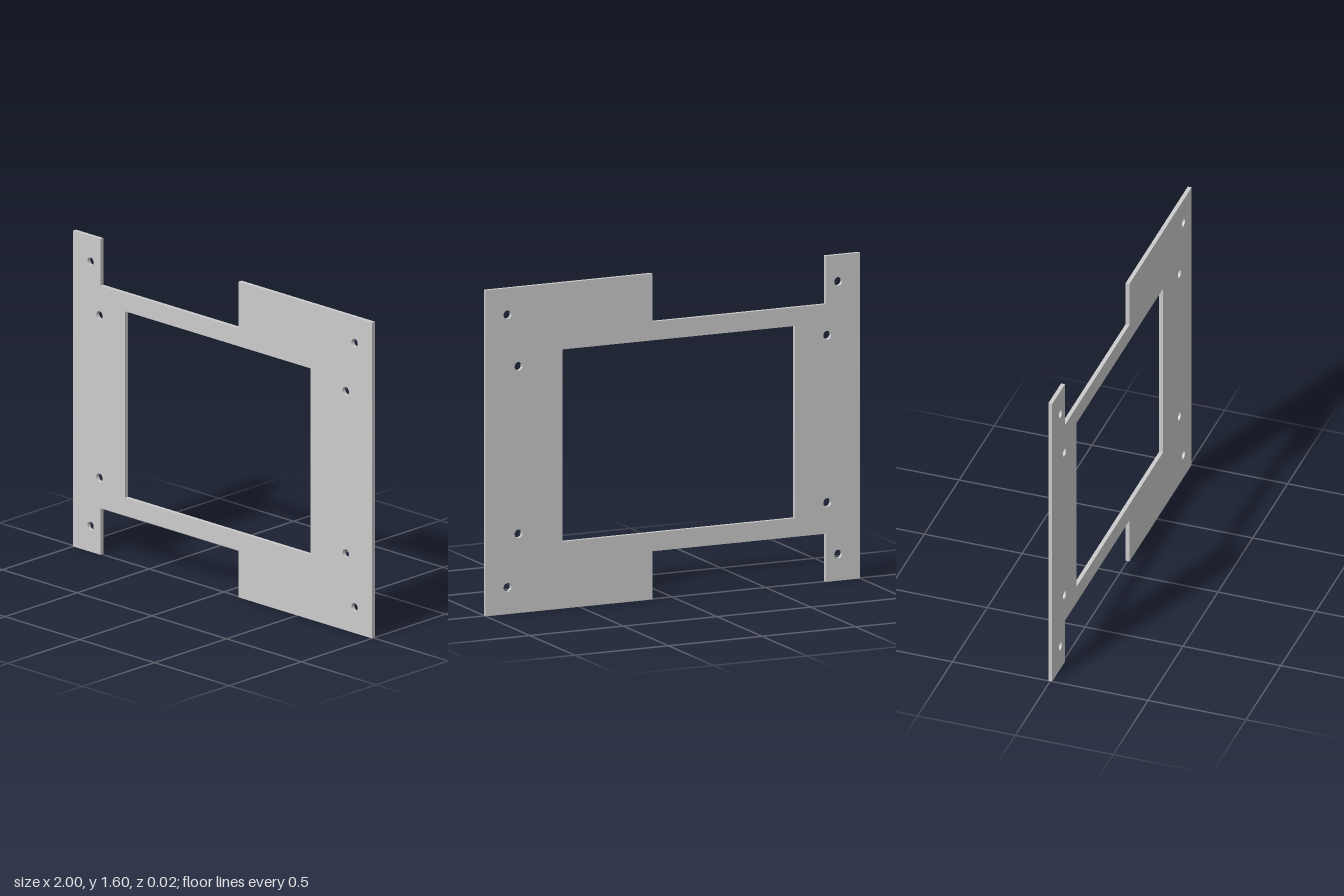
import * as THREE from 'three';

const HEIGHT = 1.604;
const MID = HEIGHT / 2;
const THICKNESS = 0.02;

// Closed outline from a list of [x, y] corners
function trace(path, points) {
  points.forEach(([x, y], i) => (i ? path.lineTo(x, y) : path.moveTo(x, y)));
  path.closePath();
  return path;
}

export function createModel() {
  const group = new THREE.Group();
  group.name = 'mountingPlate';

  // Outer outline: the lower half, mirrored about mid height, with a notch at top and bottom
  const lower = [
    [-1, 0], [-0.817, 0], [-0.817, 0.237], [0.108, 0.237], [0.108, 0], [1, 0],
  ];
  const upper = lower.map(([x, y]) => [x, HEIGHT - y]).reverse();
  const shape = trace(new THREE.Shape(), [...lower, ...upper]);

  // Rectangular window
  const halfWindow = 0.473;
  shape.holes.push(trace(new THREE.Path(), [
    [-0.651, MID - halfWindow], [-0.651, MID + halfWindow],
    [0.589, MID + halfWindow], [0.589, MID - halfWindow],
  ]));

  // Screw holes: an outer and an inner set of four
  for (const [x, dy] of [[0.883, 0.671], [0.824, 0.412]]) {
    for (const sx of [-1, 1]) {
      for (const sy of [-1, 1]) {
        const hole = new THREE.Path();
        hole.absarc(sx * x, MID + sy * dy, 0.021, 0, Math.PI * 2, true);
        shape.holes.push(hole);
      }
    }
  }

  const geometry = new THREE.ExtrudeGeometry(shape, {
    depth: THICKNESS, bevelEnabled: false, curveSegments: 32,
  });
  geometry.translate(0, 0, -THICKNESS / 2);

  const plate = new THREE.Mesh(geometry, new THREE.MeshStandardMaterial({ color: 0xcccccc }));
  plate.name = 'plate';
  group.add(plate);
  return group;
}
